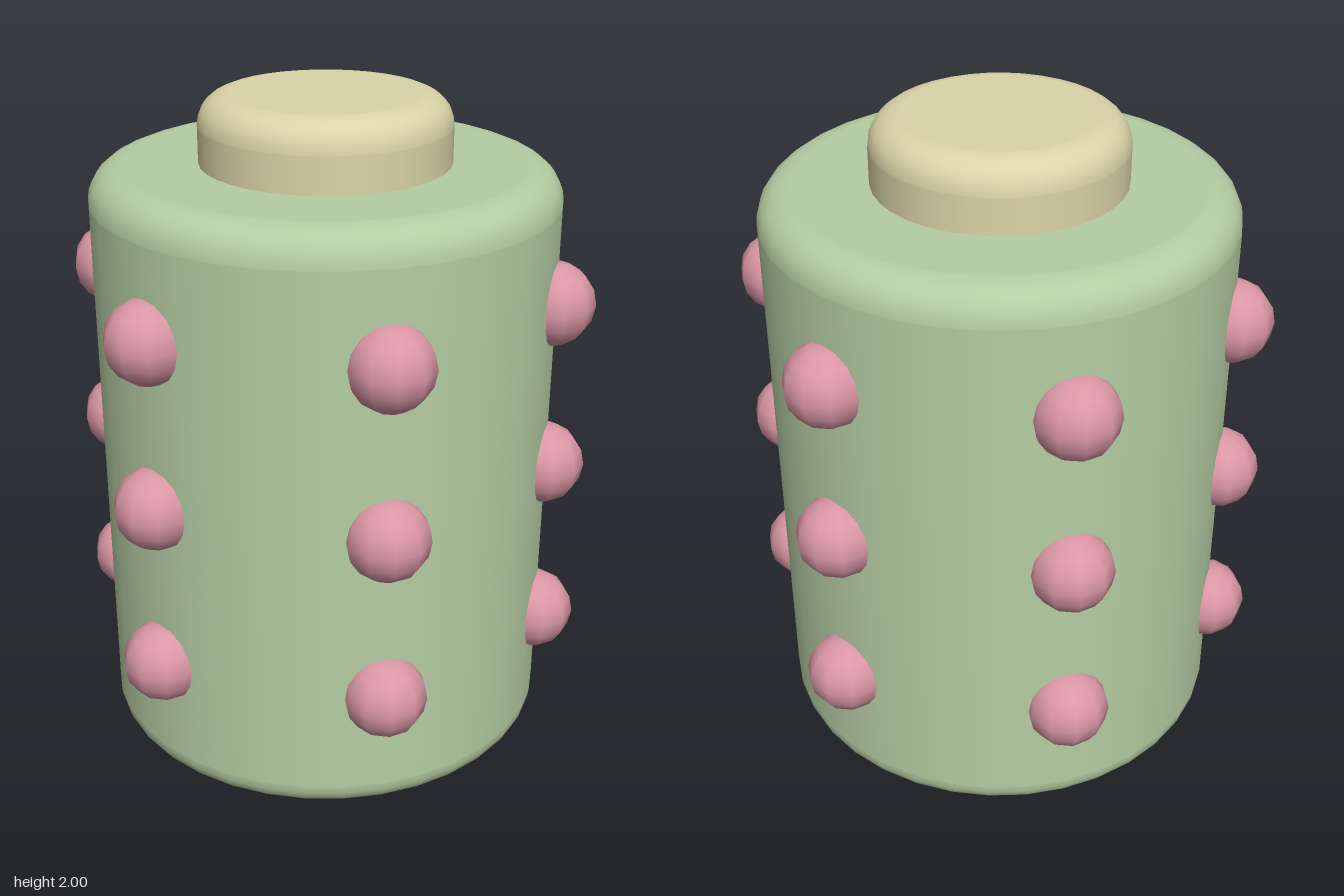
import * as THREE from 'three';

// Upright drum with rounded rims, turned from a profile
function roundedDrum(radius, y0, y1, bottomBevel, topBevel, segments) {
  const pts = [new THREE.Vector2(0, y0)];
  const e = 0.003; // short flats beside each bevel keep the shading clean
  const arc = (cy, bevel, start) => {
    for (let i = 0; i <= 6; i++) {
      const a = start + (i / 6) * Math.PI / 2;
      pts.push(new THREE.Vector2(radius - bevel + Math.cos(a) * bevel, cy + Math.sin(a) * bevel));
    }
  };
  pts.push(new THREE.Vector2(radius - bottomBevel - e, y0));
  arc(y0 + bottomBevel, bottomBevel, -Math.PI / 2);
  pts.push(new THREE.Vector2(radius, y0 + bottomBevel + e));
  pts.push(new THREE.Vector2(radius, y1 - topBevel - e));
  arc(y1 - topBevel, topBevel, 0);
  pts.push(new THREE.Vector2(radius - topBevel - e, y1));
  pts.push(new THREE.Vector2(0, y1));
  return new THREE.LatheGeometry(pts, segments);
}

export function createModel() {
  const green = new THREE.MeshStandardMaterial({ name: 'sage green', color: 0xb5cda3 });
  const cream = new THREE.MeshStandardMaterial({ name: 'cream', color: 0xdbd4a8 });
  const pink = new THREE.MeshStandardMaterial({ name: 'dusty pink', color: 0xdb97a5 });

  const model = new THREE.Group();
  model.name = 'studdedRoller';
  const add = (name, geometry, material, parent = model) => {
    const mesh = new THREE.Mesh(geometry, material);
    mesh.name = name;
    parent.add(mesh);
    return mesh;
  };

  // Main drum and the core that pokes out of both ends
  add('drum', roundedDrum(0.627, 0.18, 1.82, 0.075, 0.09, 36), green);
  add('core', roundedDrum(0.335, 0, 2, 0.04, 0.08, 36), cream);

  // Three rings of six studs
  const studs = new THREE.Group();
  studs.name = 'studs';
  model.add(studs);
  const studGeometry = new THREE.SphereGeometry(0.113, 10, 8);
  for (const y of [0.545, 1.015, 1.48]) {
    for (let i = 0; i < 6; i++) {
      const a = (i / 6) * Math.PI * 2;
      add('stud', studGeometry, pink, studs).position.set(Math.sin(a) * 0.62, y, Math.cos(a) * 0.62);
    }
  }
  return model;
}
